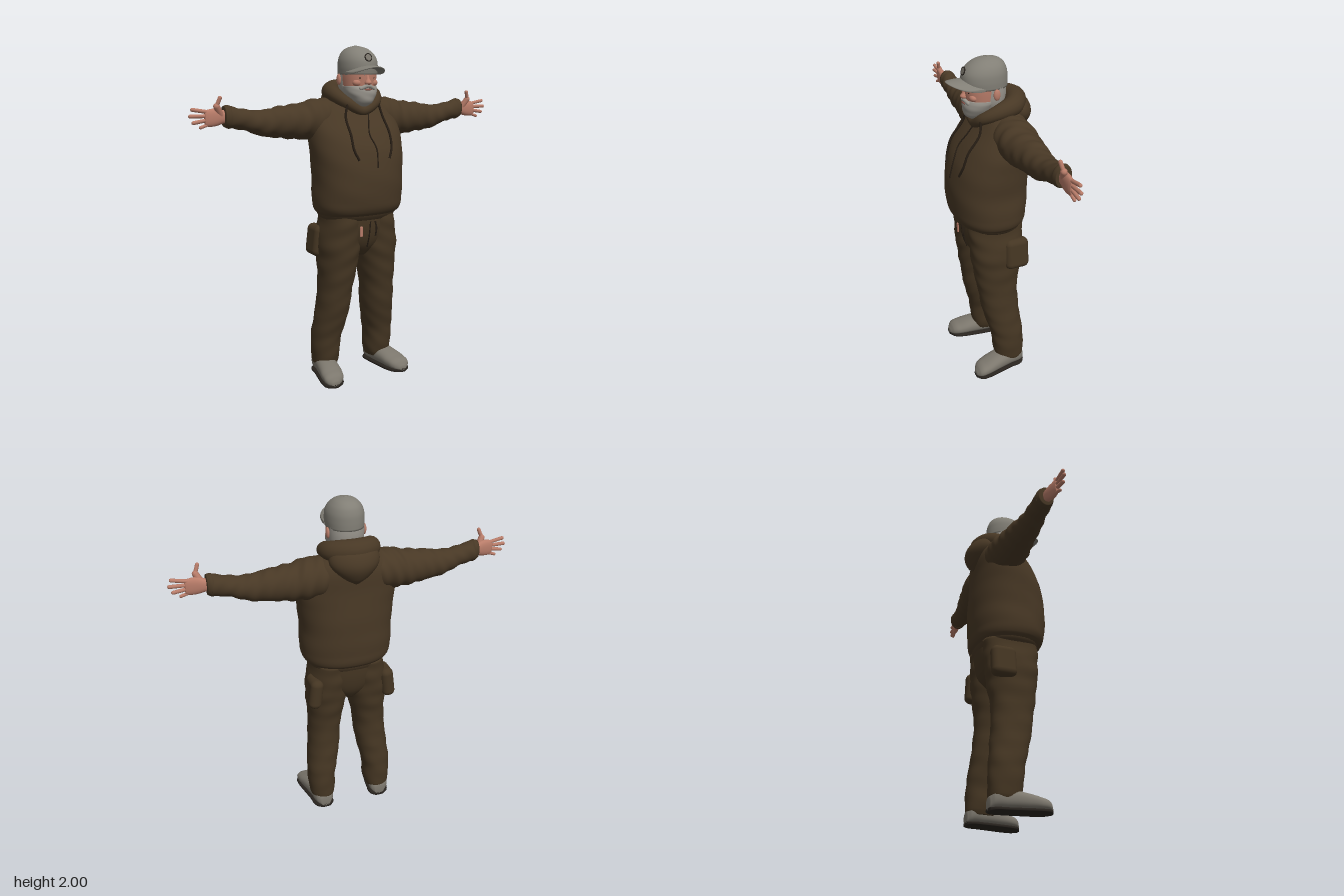
import * as THREE from 'three';
import { mergeVertices } from 'three/addons/utils/BufferGeometryUtils.js';
import { RoundedBoxGeometry } from 'three/addons/geometries/RoundedBoxGeometry.js';

const paint = (name, color) => {
  const m = new THREE.MeshStandardMaterial({ color });
  m.name = name;
  return m;
};
const V = (x, y, z) => new THREE.Vector3(x, y, z);

// Smooth solid through rows [t, centre1, centre2, radius1, radius2] along an axis (t ascending).
// Cross-section axes: x -> (y, z), y -> (z, x), z -> (x, y). n is the superellipse power.
function loft(axis, rows, { n = 2, fold = 0, freq = 60, segs = 40, steps = 5 } = {}) {
  const curve = new THREE.CubicInterpolant(rows.map(r => r[0]), rows.flatMap(r => r.slice(1)), 4);
  const order = { x: [0, 1, 2], y: [1, 2, 0], z: [2, 0, 1] }[axis];
  const pos = [], index = [];
  const put = (...v) => {
    const p = [0, 0, 0];
    order.forEach((o, k) => { p[o] = v[k]; });
    pos.push(...p);
  };
  const power = v => Math.sign(v) * Math.abs(v) ** (2 / n);
  const count = (rows.length - 1) * steps;
  for (let i = 0; i <= count; i++) {
    const k = Math.min(Math.floor(i / steps), rows.length - 2);
    const t = THREE.MathUtils.lerp(rows[k][0], rows[k + 1][0], i / steps - k);
    const [c1, c2, r1, r2] = curve.evaluate(t);
    for (let j = 0; j < segs; j++) {
      const a = j / segs * Math.PI * 2;
      const f = 1 + fold * Math.sin(t * freq + 2.5 * Math.sin(a + 0.6)) * Math.sin(a * 2 + t * 11);
      put(t, c1 + Math.max(r1, 0.001) * f * power(Math.cos(a)), c2 + Math.max(r2, 0.001) * f * power(Math.sin(a)));
    }
  }
  for (let i = 0; i < count; i++) {
    for (let j = 0; j < segs; j++) {
      const a = i * segs + j, b = i * segs + (j + 1) % segs;
      index.push(a, b, a + segs, b, b + segs, a + segs);
    }
  }
  const first = rows[0], last = rows[rows.length - 1], c = (count + 1) * segs;
  put(first[0], first[1], first[2]);
  put(last[0], last[1], last[2]);
  for (let j = 0; j < segs; j++) {
    const k = (j + 1) % segs;
    index.push(c, k, j, c + 1, count * segs + j, count * segs + k);
  }
  const g = new THREE.BufferGeometry();
  g.setAttribute('position', new THREE.Float32BufferAttribute(pos, 3));
  g.setIndex(index);
  g.computeVertexNormals();
  return g;
}

function mirrored(geo) {
  const g = geo.index ? geo.clone() : mergeVertices(geo);
  g.scale(-1, 1, 1);
  g.setIndex(Array.from(g.index.array).reverse());
  return g;
}

const ball = (x, y, z, rx, ry, rz) => new THREE.SphereGeometry(1, 24, 16).scale(rx, ry, rz).translate(x, y, z);
const cord = (pts, r) => new THREE.TubeGeometry(new THREE.CatmullRomCurve3(pts.map(p => V(...p))), 32, r, 8);

// Rounded rod between two points
function rod(a, b, r) {
  const d = V(...b).sub(V(...a));
  const g = new THREE.CapsuleGeometry(r, d.length(), 5, 12);
  g.applyQuaternion(new THREE.Quaternion().setFromUnitVectors(V(0, 1, 0), d.clone().normalize()));
  return g.translate(a[0] + d.x / 2, a[1] + d.y / 2, a[2] + d.z / 2);
}

// Closed roll whose thickness grows towards the back
function hoodRoll() {
  const half = [[0.09, 1.675, 0.07], [0.127, 1.715, -0.01], [0.105, 1.735, -0.1]];
  const pts = [[0, 1.63, 0.085], ...half, [0, 1.742, -0.15], ...half.slice().reverse().map(([x, y, z]) => [-x, y, z])];
  const path = new THREE.CatmullRomCurve3(pts.map(p => V(...p)), true);
  const segs = 72, g = new THREE.TubeGeometry(path, segs, 1, 16, true);
  const p = g.attributes.position, v = V(0, 0, 0);
  for (let i = 0; i < p.count; i++) {
    const c = path.getPointAt(Math.floor(i / 17) / segs % 1);
    const r = THREE.MathUtils.mapLinear(c.z, 0.085, -0.15, 0.03, 0.067);
    v.fromBufferAttribute(p, i).sub(c).multiplyScalar(r).add(c);
    p.setXYZ(i, v.x, v.y, v.z);
  }
  return g;
}

export function createModel() {
  const root = new THREE.Group();
  root.name = 'standingMan';
  const brown = paint('brownFleece', 0x483825), pants = paint('brownTrousers', 0x443522);
  const dark = paint('darkCord', 0x261d14), skin = paint('skin', 0xb87c69);
  const lip = paint('lips', 0x8c5348), grey = paint('capGrey', 0x827f76);
  const hairGrey = paint('beardGrey', 0x98948c), shoe = paint('shoeGrey', 0x7c776d);
  const sole = paint('soleDark', 0x29241f);
  const add = (name, geo, mat) => {
    const m = new THREE.Mesh(geo, mat);
    m.name = name;
    root.add(m);
  };
  const pair = (name, geo, mat) => {
    add(name + 'Left', geo, mat);
    add(name + 'Right', mirrored(geo), mat);
  };

  // Hooded top
  add('torso', loft('y', [
    [1.02, 0.01, 0, 0.175, 0.235], [1.05, 0.015, 0, 0.205, 0.262], [1.12, 0.02, 0, 0.22, 0.274],
    [1.25, 0.02, 0, 0.225, 0.272], [1.4, 0.01, 0, 0.21, 0.285], [1.5, -0.01, 0, 0.182, 0.288],
    [1.6, -0.045, 0, 0.147, 0.265], [1.66, -0.06, 0, 0.122, 0.215], [1.7, -0.065, 0, 0.1, 0.155],
    [1.73, -0.06, 0, 0.08, 0.1]], { n: 2.3, fold: 0.008, freq: 30, segs: 56 }), brown);
  add('hemBand', loft('y', [
    [1.0, 0.008, 0, 0.17, 0.222], [1.02, 0.01, 0, 0.182, 0.238], [1.04, 0.012, 0, 0.19, 0.246]], { n: 2.3 }), brown);
  pair('sleeve', loft('x', [
    [0.13, 1.588, -0.062, 0.108, 0.11], [0.24, 1.583, -0.062, 0.115, 0.118], [0.32, 1.573, -0.06, 0.106, 0.108],
    [0.47, 1.572, -0.06, 0.088, 0.085], [0.58, 1.571, -0.055, 0.072, 0.07], [0.67, 1.592, -0.052, 0.059, 0.059],
    [0.74, 1.607, -0.05, 0.06, 0.055], [0.775, 1.613, -0.05, 0.06, 0.05]], { fold: 0.05, freq: 75, steps: 8 }), brown);
  pair('cuff', loft('x', [
    [0.755, 1.61, -0.05, 0.06, 0.05], [0.77, 1.613, -0.05, 0.065, 0.053], [0.795, 1.616, -0.048, 0.056, 0.044]]), brown);
  add('hoodRoll', hoodRoll(), brown);
  add('hoodDrape', loft('y', [
    [1.565, -0.175, 0, 0.018, 0.02], [1.6, -0.17, 0, 0.052, 0.075], [1.67, -0.15, 0, 0.098, 0.14],
    [1.73, -0.14, 0, 0.09, 0.135], [1.775, -0.13, 0, 0.06, 0.09]], { n: 1.8 }), brown);
  pair('drawstring', cord([
    [0.1, 1.68, 0.09], [0.122, 1.6, 0.105], [0.128, 1.5, 0.178], [0.124, 1.42, 0.206], [0.1, 1.36, 0.224]], 0.007), dark);
  add('neckLace', cord([
    [0.03, 1.63, 0.1], [0.012, 1.57, 0.135], [-0.008, 1.5, 0.182], [0.015, 1.42, 0.222], [0.01, 1.315, 0.247]], 0.004), dark);

  // Trousers
  add('hips', loft('y', [
    [0.77, 0, 0, 0.09, 0.04], [0.84, 0.003, 0, 0.14, 0.15], [0.93, 0.005, 0, 0.165, 0.21],
    [1.04, 0.005, 0, 0.17, 0.216]], { n: 2.2 }), pants);
  pair('trouserLeg', loft('y', [
    [0.06, -0.06, 0.185, 0.082, 0.066], [0.09, -0.06, 0.185, 0.09, 0.077], [0.2, -0.05, 0.185, 0.1, 0.085],
    [0.27, -0.044, 0.18, 0.102, 0.09], [0.4, -0.018, 0.16, 0.113, 0.097], [0.6, 0.005, 0.143, 0.125, 0.1],
    [0.75, 0.007, 0.13, 0.147, 0.117], [0.85, 0.007, 0.125, 0.158, 0.124], [0.95, 0.006, 0.115, 0.166, 0.118],
    [1.03, 0.005, 0.11, 0.166, 0.108]], { n: 2.2, fold: 0.025, freq: 48, steps: 7 }), pants);
  pair('sidePocket', new RoundedBoxGeometry(0.08, 0.19, 0.15, 5, 0.036).rotateZ(0.12).translate(0.227, 0.855, -0.08), pants);
  add('fly', cord([[0.002, 0.99, 0.178], [0, 0.9, 0.166], [0, 0.83, 0.142]], 0.004), dark);
  add('waistLace', cord([[0.035, 0.99, 0.176], [0.042, 0.95, 0.179], [0.04, 0.9, 0.172]], 0.005), dark);
  add('waistTag', new RoundedBoxGeometry(0.018, 0.062, 0.009, 2, 0.004).translate(-0.06, 0.935, 0.177), skin);

  // Shoes
  const foot = [[-0.152, 0.185, 0.03, 0.033], [-0.13, 0.187, 0.055, 0.054], [-0.05, 0.195, 0.064, 0.058],
    [0.05, 0.213, 0.068, 0.05], [0.12, 0.226, 0.068, 0.04], [0.17, 0.235, 0.052, 0.029], [0.19, 0.238, 0.02, 0.014]];
  pair('shoe', loft('z', foot.map(([z, x, w, h]) => [z, x, 0.01 + h, w, h]), { n: 2.3 }), shoe);
  pair('shoeSole', loft('z', foot.map(([z, x, w]) => [z, x, 0.011, w + 0.002, 0.011]), { n: 4 }), sole);

  // Hands with palms forward and thumbs up
  pair('palm', loft('x', [
    [0.76, 1.613, -0.046, 0.032, 0.025], [0.8, 1.615, -0.044, 0.037, 0.024], [0.84, 1.614, -0.038, 0.047, 0.023],
    [0.885, 1.611, -0.034, 0.046, 0.017], [0.905, 1.611, -0.034, 0.04, 0.011]], { n: 2.3 }), skin);
  [[0.885, 1.643, 0.972, 1.658], [0.89, 1.622, 0.984, 1.623], [0.887, 1.601, 0.968, 1.588], [0.875, 1.58, 0.93, 1.562]]
    .forEach(([x0, y0, x1, y1], i) => pair('finger' + (i + 1), rod([x0, y0, -0.035], [x1, y1, -0.032], i === 3 ? 0.009 : 0.0105), skin));
  pair('thumbBase', rod([0.815, 1.625, -0.035], [0.842, 1.672, -0.018], 0.018), skin);
  pair('thumbTip', rod([0.842, 1.675, -0.016], [0.826, 1.718, -0.006], 0.011), skin);

  // Head, hair and beard
  add('neck', new THREE.CylinderGeometry(0.07, 0.075, 0.16, 24).translate(0, 1.66, -0.005), skin);
  add('head', loft('y', [
    [1.69, 0.05, 0, 0.07, 0.06], [1.74, 0.035, 0, 0.1, 0.089], [1.8, 0.03, 0, 0.114, 0.099],
    [1.86, 0.03, 0, 0.116, 0.1], [1.9, 0.03, 0, 0.11, 0.096]], { n: 2.2 }), skin);
  add('hair', loft('y', [
    [1.7, -0.005, 0, 0.075, 0.075], [1.75, 0, 0, 0.088, 0.097], [1.8, 0, 0, 0.095, 0.103],
    [1.86, 0.002, 0, 0.096, 0.103]], { n: 2.1 }), hairGrey);
  add('beard', loft('y', [
    [1.655, 0.09, 0, 0.02, 0.02], [1.675, 0.085, 0, 0.055, 0.052], [1.715, 0.067, 0, 0.084, 0.084],
    [1.75, 0.058, 0, 0.093, 0.098], [1.772, 0.045, 0, 0.094, 0.1]], { n: 2.1, fold: 0.015, freq: 120 }), hairGrey);
  pair('moustache', rod([0.008, 1.772, 0.148], [0.04, 1.758, 0.136], 0.012), hairGrey);
  add('mouth', ball(0, 1.752, 0.15, 0.026, 0.005, 0.005), lip);
  add('nose', loft('y', [
    [1.776, 0.142, 0, 0.012, 0.012], [1.788, 0.147, 0, 0.021, 0.02], [1.81, 0.142, 0, 0.014, 0.012],
    [1.835, 0.137, 0, 0.009, 0.009]], { segs: 20 }), skin);
  pair('cheek', ball(0.05, 1.79, 0.112, 0.03, 0.022, 0.024), skin);
  pair('eye', ball(0.037, 1.817, 0.133, 0.014, 0.0045, 0.005), dark);
  pair('eyebrow', rod([0.02, 1.835, 0.14], [0.055, 1.834, 0.123], 0.0055), hairGrey);
  pair('ear', ball(0.106, 1.808, -0.005, 0.012, 0.032, 0.02), skin);

  // Peaked cap
  add('capCrown', loft('y', [
    [1.835, 0.025, 0, 0.13, 0.107], [1.88, 0.027, 0, 0.132, 0.109], [1.93, 0.023, 0, 0.122, 0.101],
    [1.97, 0.013, 0, 0.09, 0.074], [1.988, 0.008, 0, 0.054, 0.045], [1.996, 0.005, 0, 0.015, 0.015]], { n: 2.1 }), grey);
  const brim = [];
  for (let i = -8; i <= 8; i++) {
    const u = Math.sin(i / 16 * Math.PI), front = 0.1 + 0.15 * Math.cos(i / 16 * Math.PI);
    brim.push([u * 0.106, 1.878 - 0.036 * u * u, (front + 0.06) / 2, 0.008, (front - 0.06) / 2]);
  }
  add('capBrim', loft('x', brim, { n: 2.5, steps: 2 }), grey);
  add('capButton', ball(0, 1.995, 0.005, 0.01, 0.005, 0.01), grey);
  add('capBadge', new THREE.CylinderGeometry(0.021, 0.021, 0.008, 24).rotateX(Math.PI / 2 - 0.3).translate(0, 1.93, 0.147), shoe);
  add('capBadgeRim', new THREE.TorusGeometry(0.021, 0.0035, 8, 28).rotateX(-0.3).translate(0, 1.931, 0.149), sole);
  return root;
}
